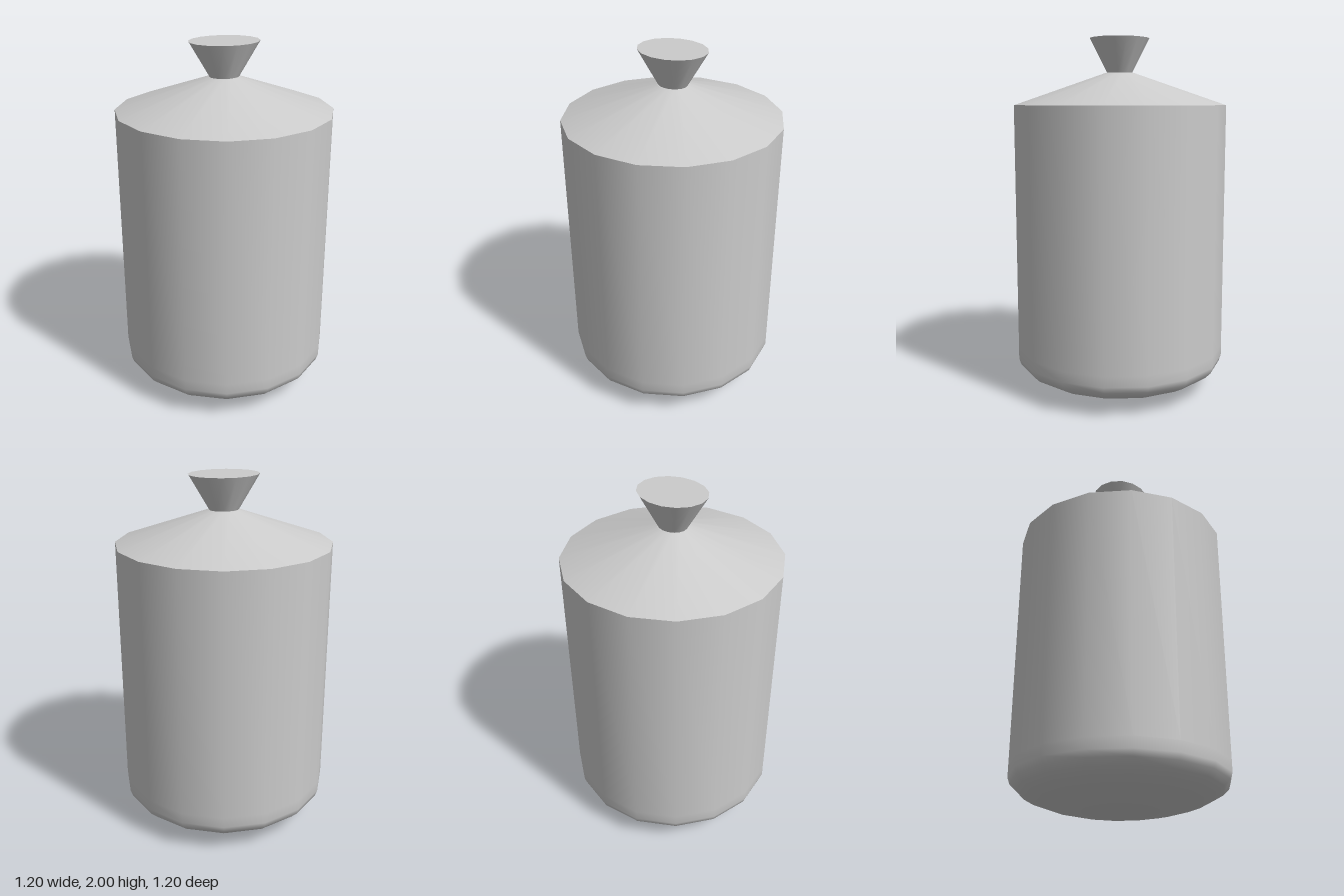
import * as THREE from 'three';

const SIDES = 16;
const RADIUS = 0.6;
const BASE_HEIGHT = 0.18;
const SHOULDER = 1.63;
const NECK = 1.81;

export function createModel() {
  const model = new THREE.Group();
  model.name = 'lidded canister';
  const material = new THREE.MeshStandardMaterial({ color: 0xcccccc });

  function add(name, geometry) {
    const mesh = new THREE.Mesh(geometry, material);
    mesh.name = name;
    model.add(mesh);
    return mesh;
  }

  // Body: shallow elliptical bottom running smoothly into the straight wall
  const profile = [];
  const steps = 8;
  for (let i = 0; i <= steps; i++) {
    const a = (i / steps) * Math.PI / 2;
    profile.push(new THREE.Vector2(RADIUS * Math.sin(a), BASE_HEIGHT * (1 - Math.cos(a))));
  }
  profile.push(new THREE.Vector2(RADIUS, 0.24), new THREE.Vector2(RADIUS, SHOULDER));
  add('body', new THREE.LatheGeometry(profile, SIDES));

  // Lid: low cone with a small flat top under the knob
  const lid = new THREE.CylinderGeometry(0.08, RADIUS, NECK - SHOULDER, SIDES);
  add('lid', lid).position.y = (NECK + SHOULDER) / 2;

  // Knob: flared cone, slightly oval in plan
  const knob = add('knob', new THREE.CylinderGeometry(0.197, 0.083, 2 - NECK, SIDES));
  knob.position.y = (2 + NECK) / 2;
  knob.scale.z = 0.855;

  return model;
}
